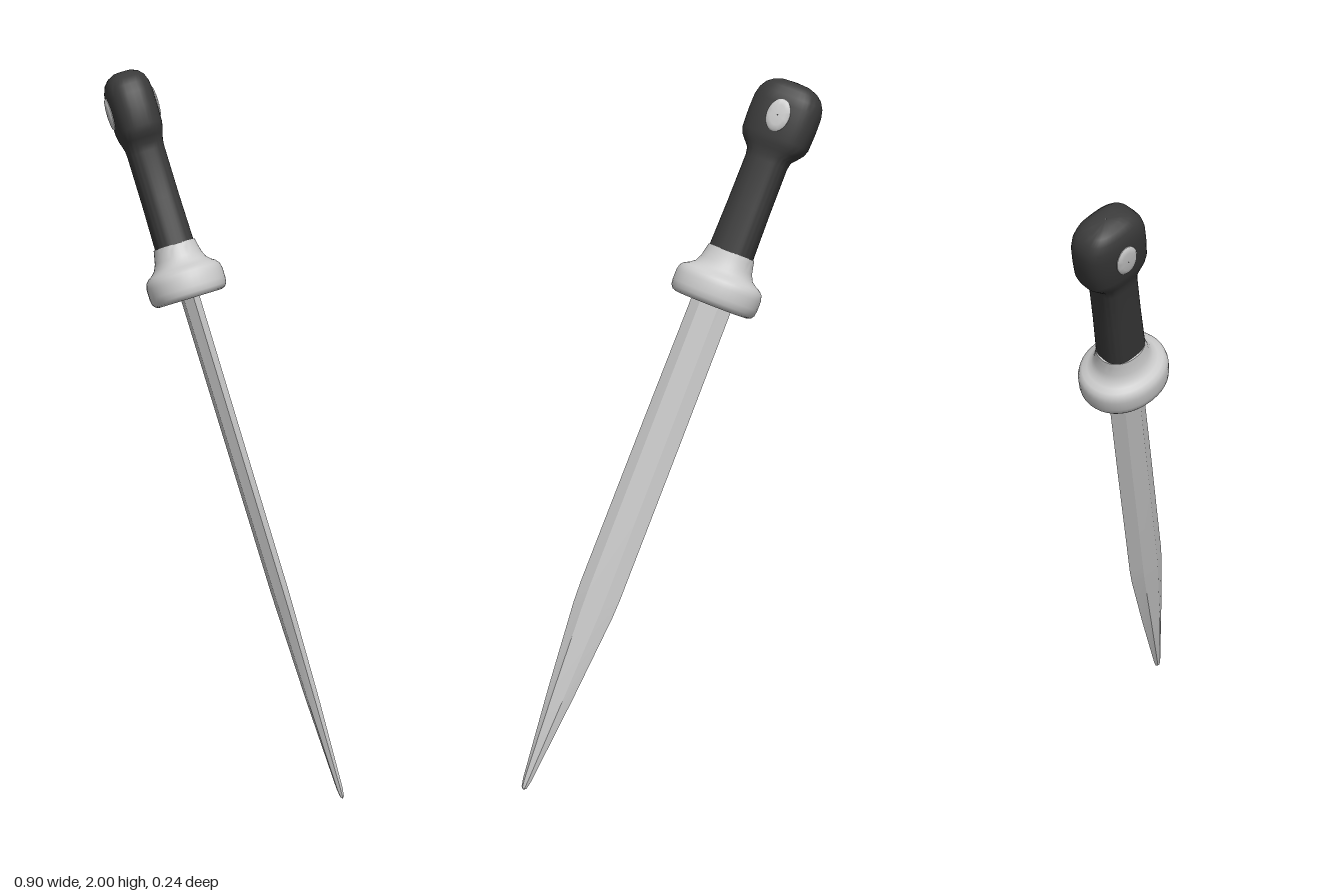
import * as THREE from 'three';
import { toCreasedNormals } from 'three/addons/utils/BufferGeometryUtils.js';

const steel = new THREE.MeshStandardMaterial({ color: 0xcccccc });
const gripDark = new THREE.MeshStandardMaterial({ color: 0x3a3a3a });

// Rounded outline: power 2 is an ellipse, higher powers are boxier.
function superellipse(power, sides = 40) {
  const bend = (v) => Math.sign(v) * Math.abs(v) ** (2 / power);
  return Array.from({ length: sides }, (_, i) => {
    const a = (i / sides) * Math.PI * 2;
    return [bend(Math.cos(a)), bend(Math.sin(a))];
  });
}

// Skins a unit outline through stations of [height, half width, half thickness].
function loft(outline, stations, crease) {
  const n = outline.length, positions = [], index = [];
  for (const [y, w, d] of stations) {
    for (const [x, z] of outline) positions.push(x * w, y, z * d);
  }
  for (let i = 0; i < stations.length - 1; i++) {
    for (let j = 0; j < n; j++) {
      const a = i * n + j, b = i * n + (j + 1) % n;
      index.push(a, a + n, b, b, a + n, b + n);
    }
  }
  const geo = new THREE.BufferGeometry();
  geo.setAttribute('position', new THREE.Float32BufferAttribute(positions, 3));
  geo.setIndex(index);
  geo.computeVertexNormals();
  return toCreasedNormals(geo, crease);
}

export function createModel() {
  const model = new THREE.Group();
  const dagger = new THREE.Group();
  dagger.name = 'dagger';
  model.add(dagger);

  const add = (name, geometry, material) => {
    const mesh = new THREE.Mesh(geometry, material);
    mesh.name = name;
    dagger.add(mesh);
    return mesh;
  };

  // Double-edged blade: six-sided section with a flat middle, point at the origin
  const bladeOutline = [[1, 0], [0.45, 1], [-0.45, 1], [-1, 0], [-0.45, -1], [0.45, -1]];
  add('blade', loft(bladeOutline, [
    [0, 0.001, 0.001], [0.006, 0.008, 0.005], [0.03, 0.013, 0.008],
    [0.3, 0.04, 0.016], [0.56, 0.062, 0.02], [0.62, 0.064, 0.021],
    [1.1, 0.063, 0.022], [1.52, 0.061, 0.023],
  ], 0.3), steel);

  // Oval guard with a concave neck rising to the grip
  add('guard', loft(superellipse(2.1), [
    [1.492, 0.001, 0.001], [1.492, 0.108, 0.092], [1.496, 0.119, 0.102],
    [1.506, 0.126, 0.109], [1.522, 0.128, 0.111], [1.55, 0.128, 0.111],
    [1.566, 0.124, 0.107], [1.576, 0.115, 0.098], [1.583, 0.1, 0.087],
    [1.594, 0.086, 0.076], [1.612, 0.077, 0.068], [1.635, 0.072, 0.063],
    [1.65, 0.069, 0.06], [1.652, 0.001, 0.001],
  ], 0.8), steel);

  // Grip swelling into a rounded pommel
  add('gripAndPommel', loft(superellipse(2.8), [
    [1.63, 0.001, 0.001], [1.63, 0.064, 0.055], [1.78, 0.061, 0.053],
    [1.92, 0.06, 0.053], [1.94, 0.064, 0.054], [1.958, 0.08, 0.058],
    [1.972, 0.092, 0.062], [1.99, 0.098, 0.065], [2.04, 0.1, 0.066],
    [2.085, 0.099, 0.066], [2.11, 0.093, 0.063], [2.13, 0.081, 0.056],
    [2.144, 0.063, 0.044], [2.152, 0.04, 0.028], [2.155, 0.001, 0.001],
  ], 0.9), gripDark);

  // Oval domed rivets on both faces of the pommel
  const rivetGeo = loft(superellipse(2, 28), [
    [0.05, 0.033, 0.046], [0.067, 0.033, 0.046], [0.071, 0.029, 0.041],
    [0.073, 0.02, 0.029], [0.074, 0.001, 0.001],
  ], 0.7);
  for (const side of [1, -1]) {
    const rivet = add(side > 0 ? 'frontRivet' : 'backRivet', rivetGeo, steel);
    rivet.position.y = 2.05;
    rivet.rotation.x = side * Math.PI / 2;
  }

  // Lean the dagger to its right and turn it about its own length
  dagger.rotation.set(0.018, THREE.MathUtils.degToRad(-35), THREE.MathUtils.degToRad(22.5), 'XZY');
  dagger.position.set(0.44, 0, -0.022);
  return model;
}
